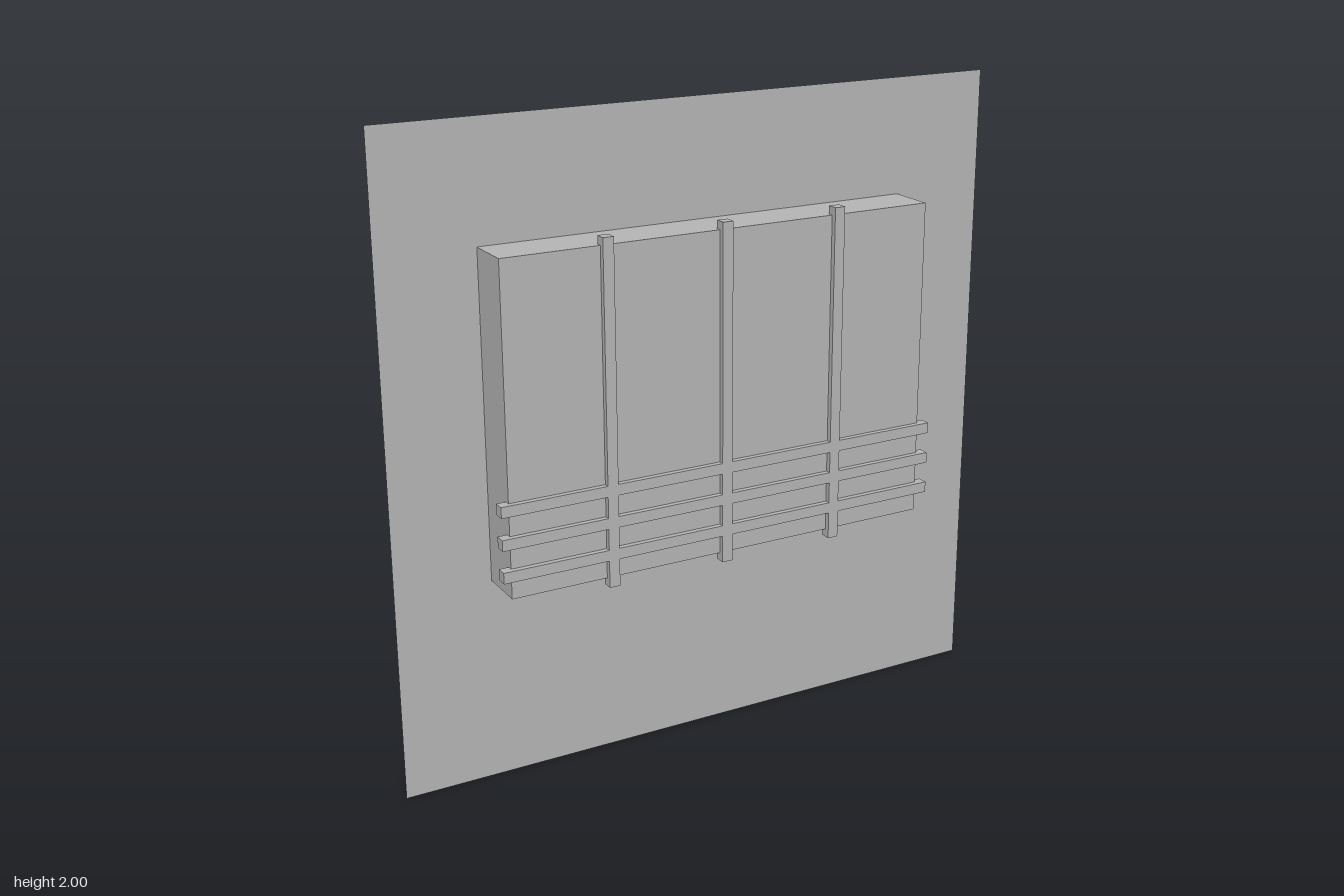
import * as THREE from 'three';

export function createModel() {
  const model = new THREE.Group();
  const plaster = new THREE.MeshStandardMaterial({ color: 0xb3b3b3, side: THREE.DoubleSide });
  plaster.name = 'plainGrey';

  const W = 1.4, H = 1.0, CY = 1.14;      // window opening
  const BACK = -0.083, FRONT = 0.067;     // wall plane and pane plane
  const DEPTH = FRONT - BACK, BAR = 0.034;

  const add = (name, geometry, x, y, z, parent = model) => {
    const mesh = new THREE.Mesh(geometry, plaster);
    mesh.name = name;
    mesh.position.set(x, y, z);
    parent.add(mesh);
    return mesh;
  };

  // Thin wall sheet with a rectangular opening
  const rect = (Type, x0, y0, x1, y1) => new Type([
    new THREE.Vector2(x0, y0), new THREE.Vector2(x1, y0),
    new THREE.Vector2(x1, y1), new THREE.Vector2(x0, y1),
  ]);
  const wall = rect(THREE.Shape, -1, 0, 1, 2);
  wall.holes.push(rect(THREE.Path, -W / 2, CY - H / 2, W / 2, CY + H / 2));
  add('wall', new THREE.ShapeGeometry(wall), 0, 0, BACK);

  // Open-backed window box: four reveal sheets and a pane
  const box = new THREE.Group();
  box.name = 'windowBox';
  model.add(box);
  const midZ = (FRONT + BACK) / 2;
  for (const s of [1, -1]) {
    add(s > 0 ? 'leftReveal' : 'rightReveal', new THREE.PlaneGeometry(DEPTH, H), s * W / 2, CY, midZ, box)
      .rotation.y = s * Math.PI / 2;
    add(s > 0 ? 'topReveal' : 'sill', new THREE.PlaneGeometry(W, DEPTH), 0, CY + s * H / 2, midZ, box)
      .rotation.x = -s * Math.PI / 2;
  }
  add('pane', new THREE.PlaneGeometry(W, H), 0, CY, FRONT, box);

  // Bars straddle the pane, showing on both sides
  const bars = new THREE.Group();
  bars.name = 'bars';
  model.add(bars);
  for (const x of [-0.38, 0, 0.38])
    add('verticalBar', new THREE.BoxGeometry(BAR, 1.05, BAR), x, CY, FRONT, bars);
  for (const y of [0.717, 0.817, 0.917])
    add('crossBar', new THREE.BoxGeometry(1.46, BAR, BAR), 0, y, FRONT, bars);

  return model;
}
